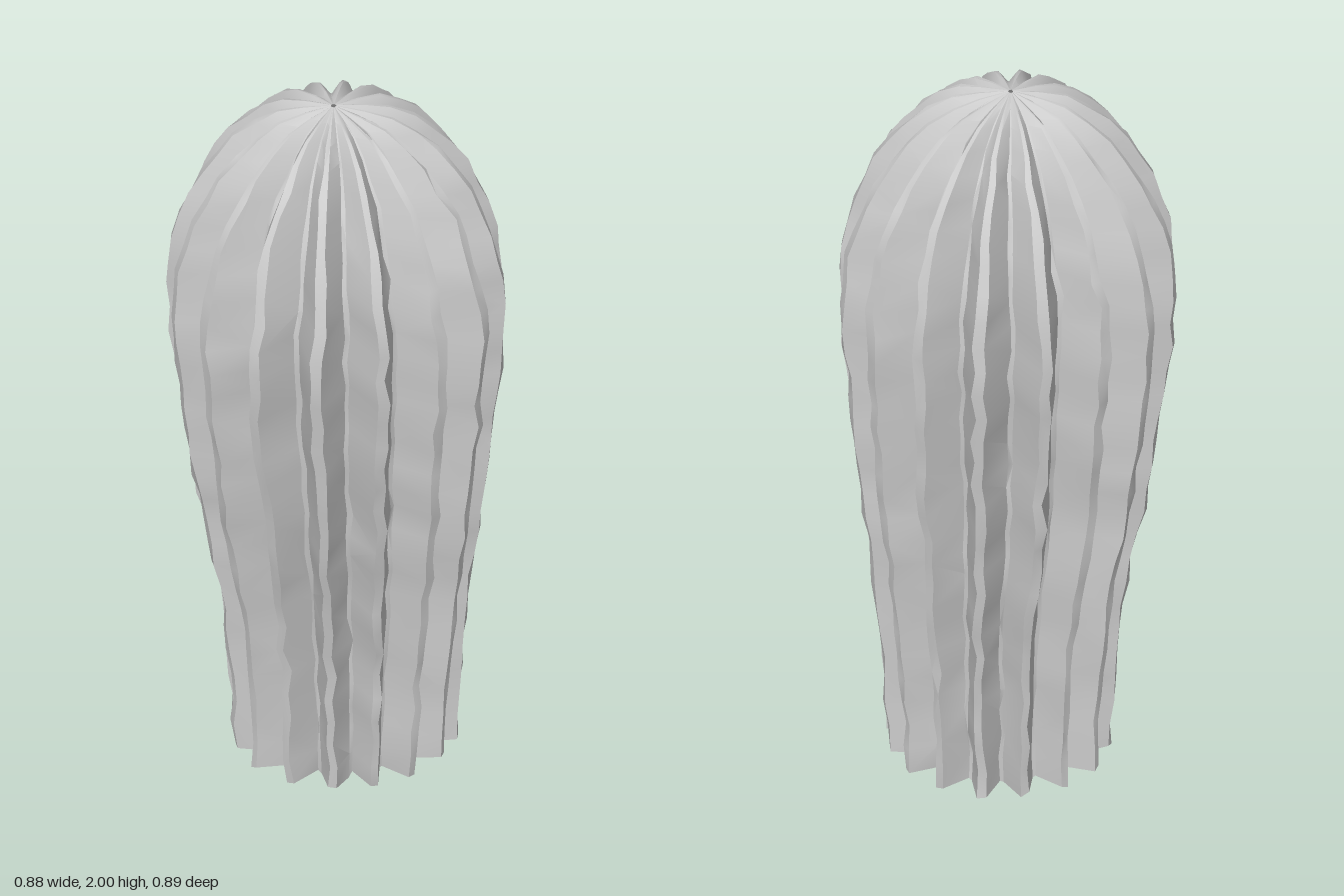
import * as THREE from 'three';
import { toCreasedNormals } from 'three/addons/utils/BufferGeometryUtils.js';

const RIBS = 16, ROWS = 30, PHASE = 0.14;

// Ridge silhouette: radius, height, sideways lean of the stem
const profile = new THREE.CatmullRomCurve3([
  [0.297, 0.01, 0.03], [0.305, 0.2, 0.03], [0.322, 0.4, 0.03], [0.35, 0.6, 0.025],
  [0.382, 0.8, 0.015], [0.407, 1.0, 0.01], [0.43, 1.2, 0.005], [0.445, 1.42, 0],
  [0.42, 1.6, 0], [0.362, 1.75, 0], [0.28, 1.87, 0], [0.16, 1.965, -0.005],
  [0.07, 1.99, -0.008], [0.008, 2.0, -0.01],
].map(p => new THREE.Vector3(...p)));

// One rib in cross-section: angle (in rib spacings) and whether it is ridge or valley
const section = [
  { turn: -0.085, ridge: true }, { turn: 0.085, ridge: true },
  { turn: 0.45, ridge: false }, { turn: 0.55, ridge: false },
];

function seeded(seed) {
  return () => {
    seed = (seed * 16807) % 2147483647;
    return seed / 2147483647 * 2 - 1;
  };
}

function ribbedStem() {
  const rand = seeded(4211);
  const positions = [], index = [];
  const cols = RIBS * section.length, step = Math.PI * 2 / RIBS;

  for (let j = 0; j <= ROWS; j++) {
    const p = profile.getPointAt(j / ROWS);
    const fade = Math.min(1, p.x / 0.3);          // irregularity dies out at the crown
    for (let i = 0; i < RIBS; i++) {
      const sway = rand() * 0.018 * fade;         // the two edges of a ridge sway together
      const swell = rand() * 0.005 * fade;
      for (const s of section) {
        const a = PHASE + (i + s.turn) * step + sway + rand() * 0.009 * fade;
        const r = p.x * (s.ridge ? 1 : 0.745) + swell + rand() * 0.004 * fade;
        const dip = s.ridge ? 0 : 0.012 * THREE.MathUtils.smoothstep(p.y, 1.5, 1.9) * fade;
        const y = j === 0 ? 0.01 + rand() * 0.01 : p.y - dip + (j < ROWS ? rand() * 0.004 * fade : 0);
        positions.push(p.z + Math.cos(a) * r, y, Math.sin(a) * r);
      }
    }
  }

  // Skin between neighbouring rows; the foot stays open
  for (let j = 0; j < ROWS; j++) {
    for (let i = 0; i < cols; i++) {
      const n = (i + 1) % cols;
      const a = j * cols + i, b = j * cols + n, c = a + cols, d = b + cols;
      if ((i + j) % 2) index.push(a, c, b, b, c, d);
      else index.push(a, c, d, a, d, b);
    }
  }

  const geo = new THREE.BufferGeometry();
  geo.setAttribute('position', new THREE.Float32BufferAttribute(positions, 3));
  geo.setIndex(index);
  return toCreasedNormals(geo, 0.55);
}

export function createModel() {
  const group = new THREE.Group();
  group.name = 'cactus';
  const material = new THREE.MeshStandardMaterial({ color: 0xcccccc, side: THREE.DoubleSide });
  const stem = new THREE.Mesh(ribbedStem(), material);
  stem.name = 'ribbedStem';
  group.add(stem);
  return group;
}
